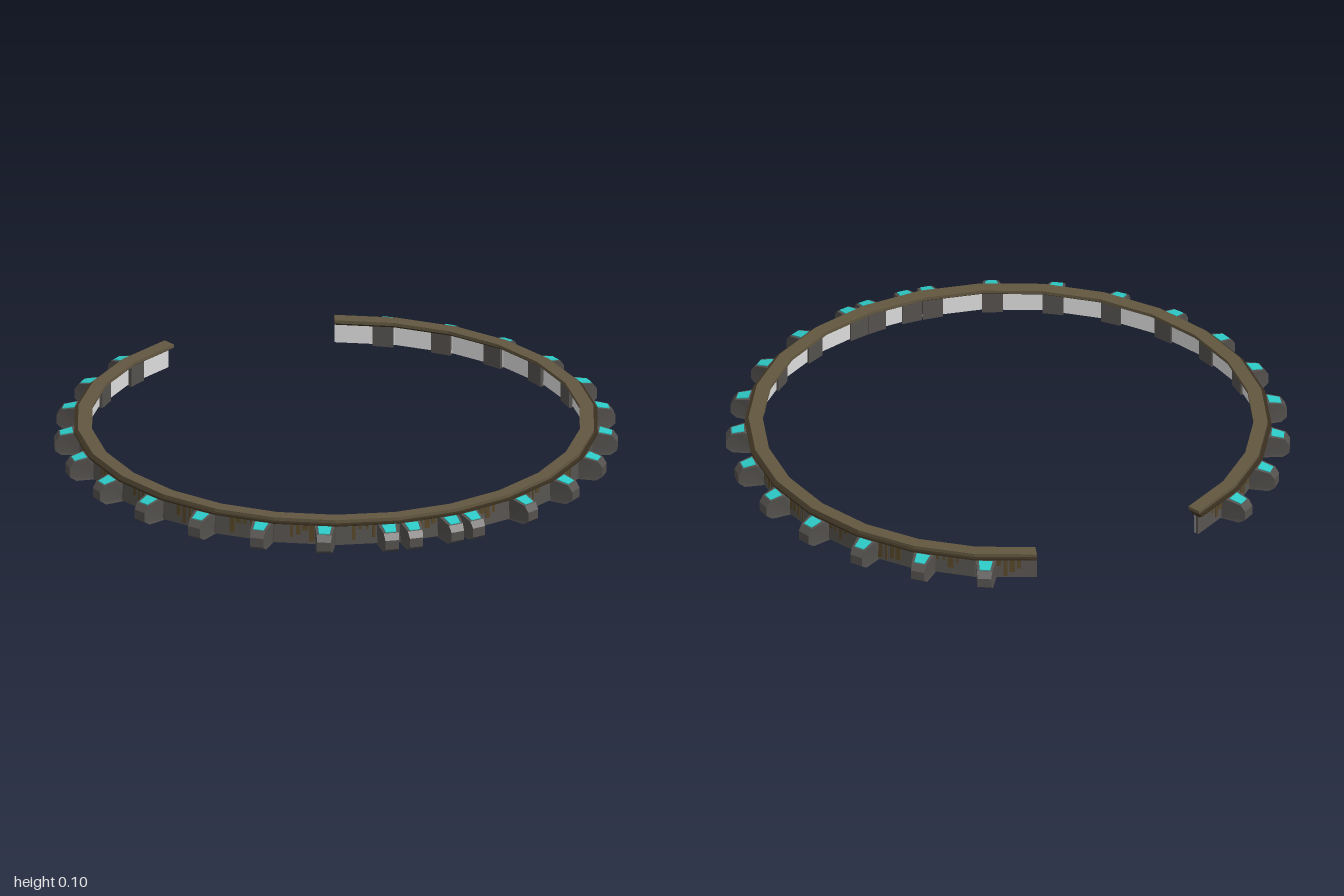
import * as THREE from 'three';

const DEG = Math.PI / 180;
const CENTRE_Z = -0.05;
const SEGMENTS = 23;
const START = -156.2 * DEG, STEP = (319.1 / SEGMENTS) * DEG;

const mat = (name, color) => {
  const m = new THREE.MeshStandardMaterial({ color });
  m.name = name;
  return m;
};

// Solid from a convex counter-clockwise [radius, height] profile placed at several slices
function loft(profile, slices, place) {
  const pos = [];
  const tri = (...pts) => pts.forEach((p) => pos.push(...p));
  const rings = slices.map((s) => profile.map(([r, y]) => place(r, y, s)));
  const n = profile.length;
  for (let i = 0; i < rings.length - 1; i++) {
    const A = rings[i], B = rings[i + 1];
    for (let j = 0; j < n; j++) {
      const k = (j + 1) % n;
      tri(A[j], B[j], B[k]);
      tri(A[j], B[k], A[k]);
    }
  }
  const first = rings[0], last = rings[rings.length - 1];
  for (let j = 1; j < n - 1; j++) {
    tri(first[0], first[j], first[j + 1]);
    tri(last[0], last[j + 1], last[j]);
  }
  const g = new THREE.BufferGeometry();
  g.setAttribute('position', new THREE.Float32BufferAttribute(pos, 3));
  g.computeVertexNormals();
  return g;
}

const rect = (r0, r1, y0, y1) => [[r0, y0], [r1, y0], [r1, y1], [r0, y1]];

export function createModel() {
  const model = new THREE.Group();
  model.name = 'openRing';
  const ring = new THREE.Group();
  ring.name = 'ring';
  ring.position.z = CENTRE_Z;
  model.add(ring);

  const brown = mat('brown rail', 0x625740);
  const darkBrown = mat('dark brown trim', 0x3a3020);
  const steel = mat('dark steel', 0x54514e);
  const panel = mat('wall grey', 0x575450);
  const pale = mat('pale lining', 0xdcdcdc);
  const rust = mat('rust', 0x574728);
  const teal = mat('teal light', 0x2cc9c6);

  const add = (name, geometry, material, parent = ring) => {
    const mesh = new THREE.Mesh(geometry, material);
    mesh.name = name;
    parent.add(mesh);
    return mesh;
  };

  // Faceted ring strips: rail on top, trim below it, wall and its lining
  const angles = Array.from({ length: SEGMENTS + 1 }, (_, i) => START + i * STEP);
  const around = (r, y, a) => [r * Math.sin(a), y, r * Math.cos(a)];
  const strip = (name, profile, material) => add(name, loft(profile, angles, around), material);
  strip('topRail', rect(0.868, 0.918, 0.09, 0.102), brown);
  strip('railTrim', [[0.885, 0.078], [0.92, 0.078], [0.932, 0.084], [0.932, 0.09], [0.872, 0.09]], darkBrown);
  strip('outerWall', rect(0.902, 0.914, 0.005, 0.08), panel);
  strip('innerLining', rect(0.898, 0.902, 0.005, 0.08), pale);

  // Rust streaks running down each wall panel
  let seed = 7;
  const rnd = () => (seed = (seed * 16807) % 2147483647) / 2147483647;
  const flatRadius = 0.914 * Math.cos(STEP / 2);
  for (let i = 0; i < SEGMENTS; i++) {
    const streaks = new THREE.Group();
    streaks.name = 'rustStreaks';
    streaks.rotation.y = START + (i + 0.5) * STEP;
    ring.add(streaks);
    for (let j = 0; j < 5; j++) {
      const length = 0.015 + 0.055 * rnd(), width = 0.008 + 0.014 * rnd();
      const streak = add('rustStreak', new THREE.BoxGeometry(width, length, 0.003), rust, streaks);
      streak.position.set((j - 2) * 0.024, 0.079 - length / 2, flatRadius);
    }
  }

  // Tapered clamps gripping the wall, each with a teal light on its sloping top
  const taper = (r) => 0.037 - 0.013 * THREE.MathUtils.clamp((r - 0.925) / 0.075, 0, 1);
  const clampBody = loft(
    [[0.884, 0], [0.975, 0], [0.998, 0.016], [0.998, 0.05], [0.982, 0.072], [0.935, 0.083], [0.884, 0.083]],
    [-1, 1], (r, y, s) => [s * taper(r), y, r]);
  const lightPlate = loft(
    [[0.934, 0.081], [0.978, 0.071], [0.978, 0.076], [0.934, 0.086]],
    [-1, 1], (r, y, s) => [s * taper(r) * 0.68, y, r]);
  const clampAngles = [8.1, -0.9];
  for (let k = 0; k <= 10; k++) clampAngles.push(13 + 13.87 * k, -6 - 13.9 * k);
  for (const a of clampAngles) {
    const clamp = new THREE.Group();
    clamp.name = 'clamp';
    clamp.rotation.y = a * DEG;
    add('clampBody', clampBody, steel, clamp);
    add('clampLight', lightPlate, teal, clamp);
    ring.add(clamp);
  }
  return model;
}
